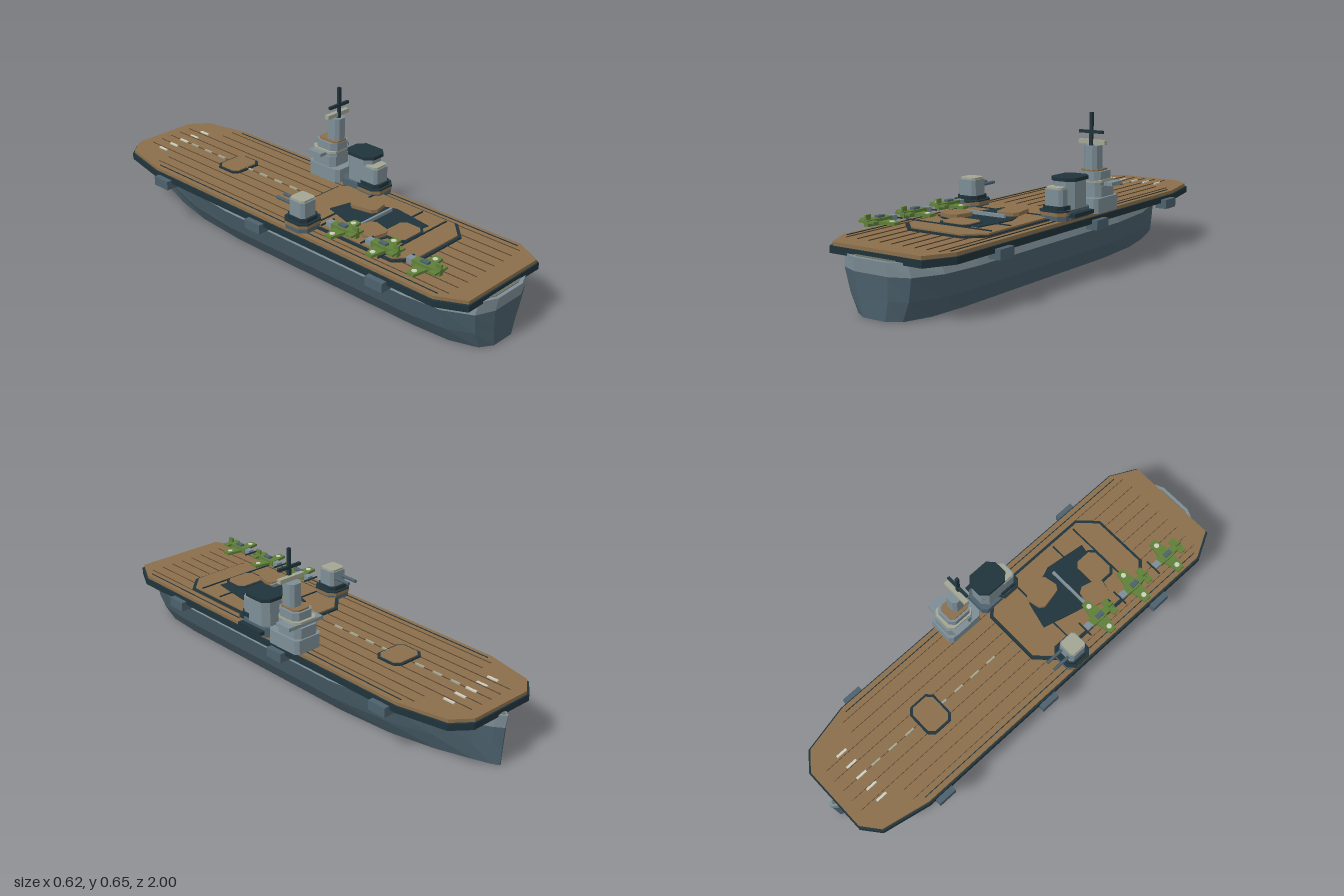
import * as THREE from 'three';

const CX = -0.01; // centreline of hull and deck

export function createModel() {
  const model = new THREE.Group();
  model.name = 'carrierShip';
  const paint = (name, color, side = THREE.FrontSide) => {
    const m = new THREE.MeshStandardMaterial({ color, side });
    m.name = name;
    return m;
  };
  const hullBlue = paint('hullBlue', 0x4c616d, THREE.DoubleSide);
  const steel = paint('lightSteel', 0x7d8e96, THREE.DoubleSide);
  const navy = paint('navy', 0x20333b);
  const wood = paint('deckWood', 0x8b6f4b);
  const seamBrown = paint('seamBrown', 0x5c4833);
  const capGrey = paint('capGrey', 0x6e7165);
  const pale = paint('paleGrey', 0xa3a694);
  const white = paint('markingWhite', 0xcfcfc0);
  const green = paint('aircraftGreen', 0x5f8038);

  const add = (name, geo, mat, parent = model) => {
    const m = new THREE.Mesh(geo, mat);
    m.name = name;
    parent.add(m);
    return m;
  };
  // Box given by its limits on each axis
  const box = (name, mat, x0, x1, y0, y1, z0, z1, parent = model) => {
    const g = new THREE.BoxGeometry(x1 - x0, y1 - y0, z1 - z0);
    g.translate((x0 + x1) / 2, (y0 + y1) / 2, (z0 + z1) / 2);
    return add(name, g, mat, parent);
  };
  // Flat slab from an [x, z] outline between two heights
  const slab = (name, mat, pts, y0, y1, parent = model) => {
    const s = new THREE.Shape(pts.map(([x, z]) => new THREE.Vector2(x, -z)));
    const g = new THREE.ExtrudeGeometry(s, { depth: y1 - y0, bevelEnabled: false });
    g.rotateX(-Math.PI / 2).translate(0, y0, 0);
    return add(name, g, mat, parent);
  };
  // Rectangle with cut corners
  const oct = (x0, x1, z0, z1, c) => [
    [x0 + c, z0], [x1 - c, z0], [x1, z0 + c], [x1, z1 - c],
    [x1 - c, z1], [x0 + c, z1], [x0, z1 - c], [x0, z0 + c]];
  const block = (name, mat, x0, x1, y0, y1, z0, z1, c, parent = model) =>
    slab(name, mat, oct(x0, x1, z0, z1, c), y0, y1, parent);

  // Hull: four outline loops, open at the bottom, with a lighter top strake
  const stations = [[-1, 0.003], [-0.968, 0.028], [-0.9, 0.065], [-0.76, 0.135], [-0.56, 0.2],
    [-0.3, 0.23], [0.3, 0.23], [0.68, 0.23], [0.85, 0.212], [0.962, 0.155], [0.995, 0.078]];
  const rows = [[0, 0.67, 0.982], [0.075, 0.88, 0.986], [0.165, 1, 0.993], [0.217, 0.93, 1]];
  const loop = ([y, w, l]) => {
    const side = (s) => stations.map(([z, h]) => [CX + s * h * w, y, z * l]);
    return [...side(1), ...side(-1).reverse()];
  };
  const loops = rows.map(loop);
  const hullBand = (name, mat, from, to) => {
    const pos = [];
    for (let r = from; r < to; r++) {
      for (let i = 0; i < loops[0].length; i++) {
        const j = (i + 1) % loops[0].length;
        const [a0, b0, a1, b1] = [loops[r][i], loops[r][j], loops[r + 1][i], loops[r + 1][j]];
        pos.push(...a0, ...a1, ...b1, ...a0, ...b1, ...b0);
      }
    }
    const g = new THREE.BufferGeometry();
    g.setAttribute('position', new THREE.Float32BufferAttribute(pos, 3));
    g.computeVertexNormals();
    add(name, g, mat);
  };
  hullBand('hull', hullBlue, 0, 2);
  hullBand('hullTopStrake', steel, 2, 3);
  slab('hullCap', capGrey, loops[3].map(([x, , z]) => [CX + (x - CX) * 0.97, z * 0.985]), 0.208, 0.221);
  slab('hullTop', steel, loops[3].map(([x, , z]) => [x, z]), 0.2165, 0.218);

  // Flight deck: navy rim with a wooden top
  const half = [[0.15, -0.97], [0.225, -0.91], [0.27, -0.7], [0.27, 0.85], [0.21, 0.965]];
  const deckOutline = (k) => {
    const r = half.map(([x, z]) => [CX + x - k, z * (1 - k * 0.8)]);
    return [...r, ...r.map(([x, z]) => [2 * CX - x, z]).reverse()];
  };
  slab('deckRim', navy, deckOutline(-0.004), 0.209, 0.236);
  slab('deckTop', wood, deckOutline(0.004), 0.236, 0.25);

  // Plank seams, edge lines and painted dashes
  for (let i = 0; i < 9; i++) {
    const x = CX + (i - 4) * 0.054, e = Math.abs(i - 4) > 2 ? 0.74 : 0.92;
    box('plankSeam', seamBrown, x - 0.0007, x + 0.0007, 0.25, 0.2535, -e, 0.88);
  }
  for (const s of [-1, 1]) {
    const x = CX + s * 0.243;
    box('edgeLine', navy, x - 0.0015, x + 0.0015, 0.25, 0.253, -0.7, 0.85);
  }
  for (let i = 0; i < 8; i++) {
    const z = -0.77 + i * 0.09;
    box('centreDash', pale, CX - 0.004, CX + 0.004, 0.25, 0.256, z, z + 0.045);
  }
  for (let i = -2; i <= 2; i++) {
    const x = CX + i * 0.061;
    box('bowMark', white, x - 0.005, x + 0.005, 0.25, 0.256, -0.85, -0.8);
  }

  // Forward lift
  block('liftRim', navy, -0.09, 0.065, 0.25, 0.256, -0.52, -0.39, 0.024);
  block('liftTop', wood, -0.08, 0.055, 0.256, 0.26, -0.51, -0.4, 0.021);

  // Raised aft platform with damage patch and loose deck panels
  block('platformRim', navy, -0.2, 0.205, 0.25, 0.257, 0.01, 0.66, 0.075);
  block('platformTop', wood, -0.187, 0.192, 0.257, 0.263, 0.023, 0.647, 0.07);
  slab('darkPatch', navy, [[-0.06, 0.14], [0.06, 0.17], [0.125, 0.34], [0.1, 0.52],
    [0.05, 0.51], [-0.14, 0.45], [-0.1, 0.28]], 0.263, 0.267);
  block('aftLiftRim', navy, -0.085, 0.065, 0.263, 0.269, 0.42, 0.545, 0.025);
  block('aftLiftTop', wood, -0.075, 0.055, 0.269, 0.272, 0.43, 0.535, 0.021);
  const panel = (x, z, w, d, turn) => {
    const p = block('loosePanel', wood, -w, w, 0.269, 0.284, -d, d, 0.018);
    p.position.set(x, 0, z);
    p.rotation.y = turn;
  };
  panel(0.055, 0.24, 0.047, 0.063, 0.2);
  panel(-0.1, 0.4, 0.05, 0.054, -0.25);
  box('crossBar', steel, -0.1, 0.09, 0.27, 0.284, 0.333, 0.343);
  for (const [x, z] of [[-0.17, 0.185], [-0.17, 0.425], [-0.23, 0.545]]) {
    box('arrestorWire', navy, x, 0.18, 0.263, 0.267, z - 0.003, z + 0.003);
  }

  // Side sponsons
  for (const z of [-0.63, -0.055, 0.595]) {
    for (const s of [-1, 1]) {
      const g = new THREE.BoxGeometry(0.054, 0.04, 0.085);
      add('sponson', g, hullBlue).position.set(CX + s * 0.272, 0.205, z);
    }
  }

  // Twin gun turrets facing the bow
  const turret = (x, z) => {
    const t = new THREE.Group();
    t.name = 'gunTurret';
    t.position.set(x, 0, z);
    model.add(t);
    block('turretFoot', hullBlue, -0.06, 0.06, 0.25, 0.27, -0.06, 0.06, 0.025, t);
    block('turretStep', wood, -0.063, 0.063, 0.27, 0.284, -0.063, 0.063, 0.026, t);
    block('turretPlate', navy, -0.063, 0.063, 0.284, 0.29, -0.063, 0.063, 0.026, t);
    block('turretRing', navy, -0.05, 0.05, 0.29, 0.306, -0.052, 0.052, 0.02, t);
    block('turretHouse', steel, -0.042, 0.042, 0.306, 0.371, -0.042, 0.042, 0.012, t);
    block('turretRoof', pale, -0.037, 0.037, 0.371, 0.379, -0.037, 0.037, 0.01, t);
    for (const s of [-0.02, 0.02]) {
      const g = new THREE.CylinderGeometry(0.007, 0.007, 0.085, 8).rotateX(Math.PI / 2);
      add('gunBarrel', g, hullBlue, t).position.set(s, 0.342, -0.08);
    }
  };
  turret(-0.22, 0.145);
  turret(0.205, 0.145);

  // Funnel
  box('islandSponson', navy, 0.19, 0.293, 0.262, 0.278, 0.02, 0.16);
  block('funnelBase', hullBlue, 0.15, 0.27, 0.25, 0.29, 0, 0.17, 0.02);
  block('funnel', steel, 0.163, 0.268, 0.29, 0.4, 0.015, 0.145, 0.025);
  block('funnelCap', navy, 0.16, 0.276, 0.4, 0.414, 0.007, 0.153, 0.028);

  // Bridge and command tower
  block('bridgeBase', steel, 0.15, 0.284, 0.25, 0.31, -0.19, -0.015, 0.015);
  block('bridgeMiddle', steel, 0.157, 0.273, 0.31, 0.355, -0.183, -0.05, 0.02);
  box('bridgeWing', steel, 0.13, 0.307, 0.355, 0.37, -0.172, -0.095);
  block('bridgeBand', pale, 0.157, 0.273, 0.37, 0.38, -0.178, -0.05, 0.02);
  block('bridgeUpper', steel, 0.165, 0.268, 0.355, 0.414, -0.165, -0.05, 0.02);
  block('bridgeRoof', wood, 0.175, 0.256, 0.414, 0.421, -0.155, -0.052, 0.015);
  block('tower', steel, 0.189, 0.25, 0.421, 0.517, -0.125, -0.055, 0.014);
  box('mast', navy, 0.213, 0.226, 0.517, 0.652, -0.081, -0.068);
  box('radarBar', pale, 0.157, 0.281, 0.522, 0.54, -0.095, -0.075);
  box('yardarm', navy, 0.163, 0.275, 0.567, 0.579, -0.081, -0.069);

  // Parked aircraft, noses toward the bow
  for (const z of [0.335, 0.54, 0.74]) {
    const p = new THREE.Group();
    p.name = 'aircraft';
    p.position.set(-0.19, 0.293, z);
    model.add(p);
    slab('fuselage', green, [[-0.017, -0.05], [0.017, -0.05], [0.02, 0], [0.01, 0.075],
      [-0.01, 0.075], [-0.02, 0]], -0.011, 0.014, p);
    slab('wing', green, [[-0.085, -0.018], [-0.02, -0.03], [0.02, -0.03], [0.085, -0.018],
      [0.085, 0.014], [0.02, 0.024], [-0.02, 0.024], [-0.085, 0.014]], -0.008, 0.003, p);
    box('tailplane', green, -0.037, 0.037, 0.002, 0.01, 0.046, 0.074, p);
    box('tailFin', green, -0.004, 0.004, 0.01, 0.033, 0.05, 0.076, p);
    box('canopy', hullBlue, -0.01, 0.01, 0.014, 0.022, -0.018, 0.018, p);
    box('engine', steel, -0.014, 0.014, -0.009, 0.012, -0.08, -0.05, p);
    box('propeller', navy, -0.037, 0.037, -0.002, 0.003, -0.086, -0.08, p);
    for (const s of [-1, 1]) {
      const g = new THREE.CylinderGeometry(0.011, 0.011, 0.003, 10);
      add('wingMark', g, white, p).position.set(s * 0.06, 0.004, -0.002);
    }
  }
  return model;
}
